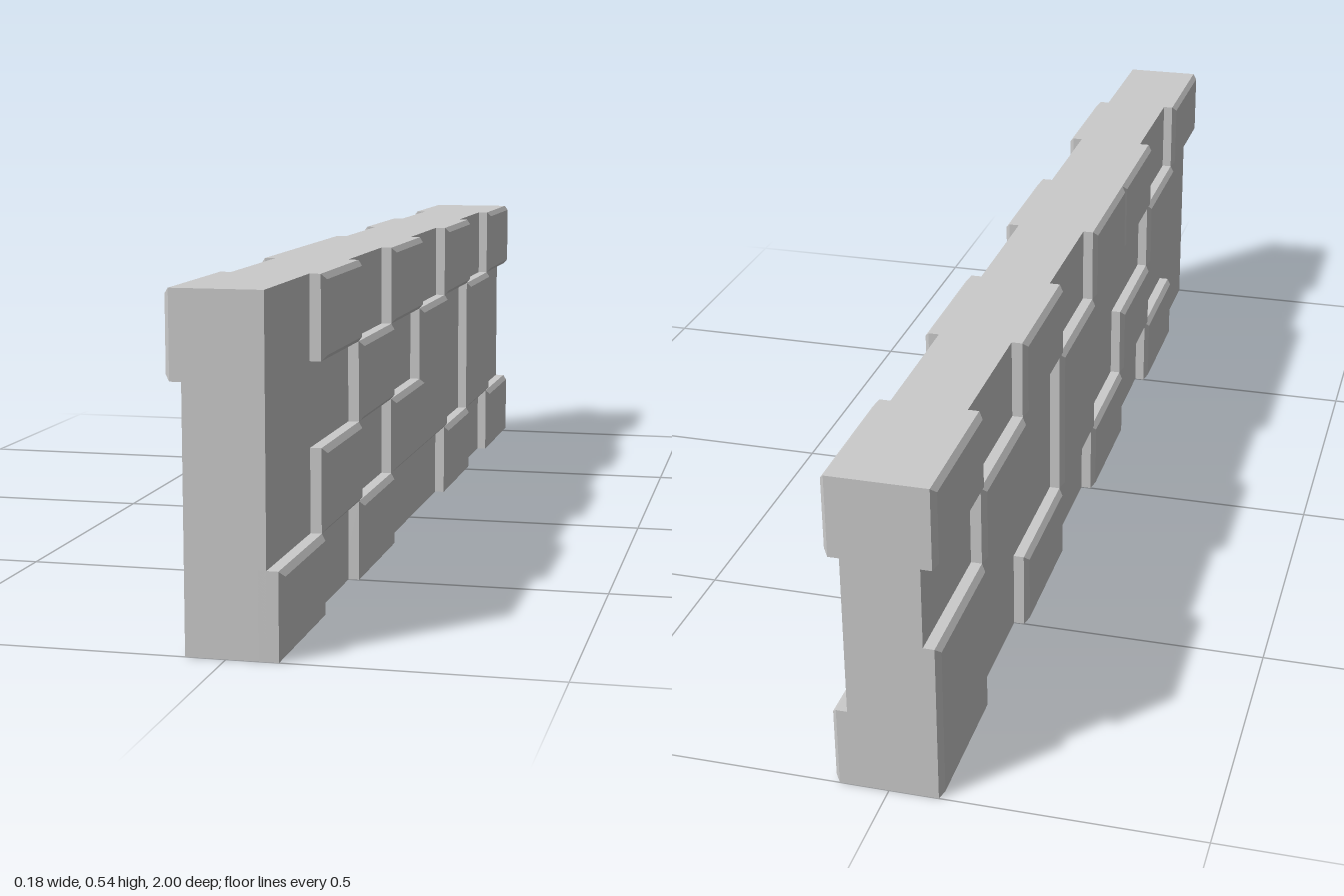
import * as THREE from 'three';

const COL = 0.25, ROW = 0.135, CORE = 0.062, BEVEL = 0.009;
const mat = new THREE.MeshStandardMaterial({ color: 0xcccccc, flatShading: true });

// Rectangular outline in grid cells: column, row, width, height
const rect = (c, r, w = 1, h = 1) => [[c, r], [c + w, r], [c + w, r + h], [c, r + h]];

// Raised stone with a bevelled face, rooted inside the core
function stone(cells) {
  const shape = new THREE.Shape(cells.map(([c, r]) => new THREE.Vector2(c * COL - 1, r * ROW)));
  const geo = new THREE.ExtrudeGeometry(shape, {
    depth: 0.03, bevelEnabled: true, bevelSegments: 1,
    bevelThickness: BEVEL - 0.001, bevelSize: BEVEL, bevelOffset: -BEVEL,
  });
  geo.translate(0, 0, CORE - 0.012);
  const mesh = new THREE.Mesh(geo, mat);
  mesh.name = 'raisedStone';
  return mesh;
}

// One long side; columns count from left to right when facing it
function side(name, angle, outlines) {
  const group = new THREE.Group();
  group.name = name;
  outlines.forEach((o) => group.add(stone(o)));
  group.rotation.y = angle;
  return group;
}

export function createModel() {
  const model = new THREE.Group();
  model.name = 'stoneWall';

  // Solid core forming the recessed surfaces
  const core = new THREE.Mesh(new THREE.BoxGeometry(CORE * 2, ROW * 4, 2), mat);
  core.name = 'wallCore';
  core.position.y = ROW * 2;
  model.add(core);

  // Left side (+x), from front to back, with one L-shaped stone
  model.add(side('leftStones', Math.PI / 2, [
    rect(0, 0), rect(1, 1), rect(1, 3), rect(2, 0), rect(2, 2), rect(3, 3),
    [[3, 1], [5, 1], [5, 3], [4, 3], [4, 2], [3, 2]],
    rect(5, 0), rect(5, 3), rect(6, 1, 1, 2), rect(7, 0), rect(7, 3),
  ]));

  // Right side (-x), from back to front
  model.add(side('rightStones', -Math.PI / 2, [
    rect(0, 3), rect(0, 0, 1, 2), rect(1, 2), rect(2, 0), rect(2, 3),
    rect(3, 1, 1, 2), rect(4, 0), rect(4, 3), rect(5, 1), rect(5, 3),
    rect(6, 0), rect(6, 2), rect(7, 3),
  ]));

  return model;
}
